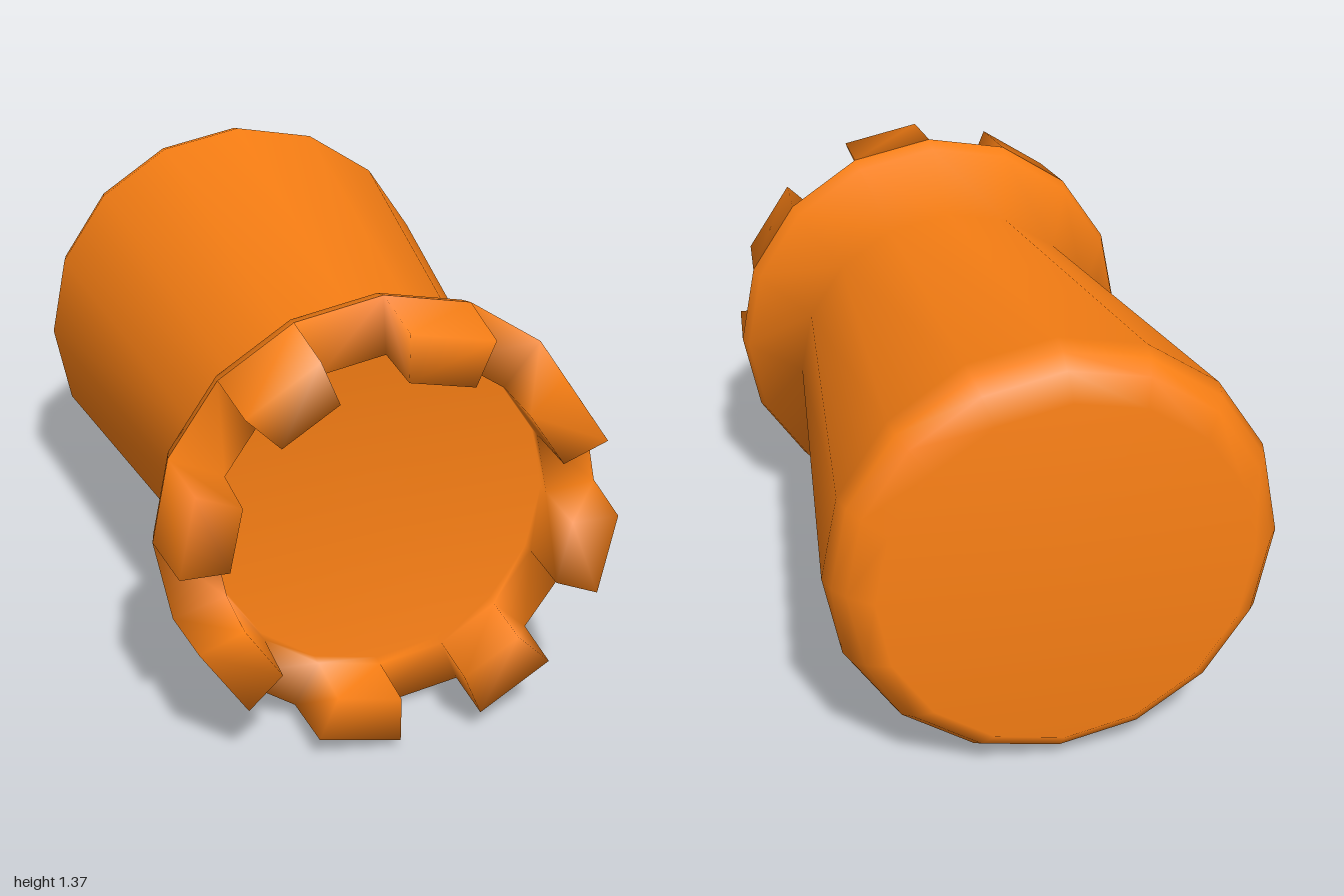
import * as THREE from 'three';

const SIDES = 16;
const AXIS_Y = 0.688;

// Solid turned body: rounded base at the back, taper to a waist, flare to the crown
function bodyGeometry() {
  const profile = [
    [0, -1], [0.565, -1], [0.635, -0.94], [0.67, -0.89], [0.687, -0.83],
    [0.52, 0.485], [0.67, 0.715], [0.685, 0.77],
  ].map(([r, z]) => new THREE.Vector2(r, z));
  return new THREE.LatheGeometry(profile, SIDES).rotateX(Math.PI / 2);
}

// Crown: ring of alternating merlons and notches around a recessed floor
function crownGeometry() {
  const rings = [
    [0.685, 0.77], // 0 outer low
    [0.66, 1], // 1 outer top
    [0.515, 1], // 2 inner top
    [0.515, 0.8], // 3 inner low
    [0.515, 0.76], // 4 floor edge
  ];
  const positions = [];
  for (const [r, z] of rings) {
    for (let i = 0; i < SIDES; i++) {
      const a = (i / SIDES) * Math.PI * 2;
      positions.push(r * Math.cos(a), r * Math.sin(a), z);
    }
  }
  const centre = positions.length / 3;
  positions.push(0, 0, 0.76);

  const index = [];
  const quad = (a, b, c, d) => index.push(a, b, c, a, c, d);
  for (let i = 0; i < SIDES; i++) {
    const j = (i + 1) % SIDES;
    const p = (ring) => ring * SIDES + i;
    const q = (ring) => ring * SIDES + j;
    const band = (from, to) => quad(p(from), q(from), q(to), p(to));
    if (i % 2) {
      band(0, 1); // merlon outside, top, inside and two ends
      band(1, 2);
      band(2, 3);
      quad(p(0), p(1), p(2), p(3));
      quad(q(0), q(3), q(2), q(1));
    } else {
      band(0, 3); // notch bottom
    }
    band(3, 4);
    index.push(p(4), q(4), centre);
  }
  const geometry = new THREE.BufferGeometry();
  geometry.setAttribute('position', new THREE.Float32BufferAttribute(positions, 3));
  geometry.setIndex(index);
  geometry.computeVertexNormals();
  return geometry;
}

export function createModel() {
  const model = new THREE.Group();
  model.name = 'castleTower';
  const material = new THREE.MeshStandardMaterial({ color: 0xf97f14 });
  const parts = { body: bodyGeometry(), crown: crownGeometry() };
  for (const [name, geometry] of Object.entries(parts)) {
    const mesh = new THREE.Mesh(geometry, material);
    mesh.name = name;
    mesh.position.y = AXIS_Y;
    model.add(mesh);
  }
  return model;
}
